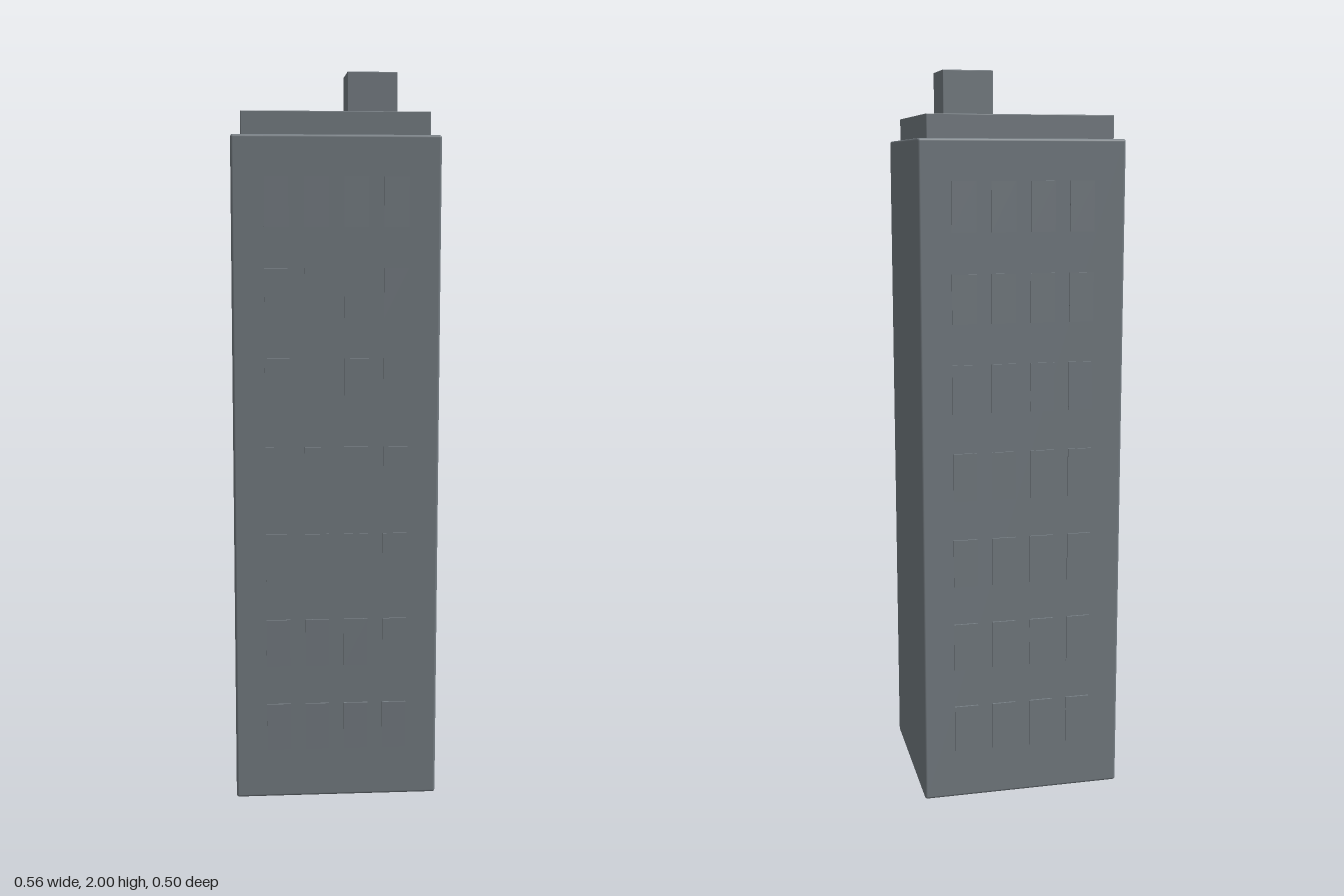
import * as THREE from 'three';
import { RoundedBoxGeometry } from 'three/addons/geometries/RoundedBoxGeometry.js';

export function createModel() {
  const model = new THREE.Group();
  model.name = 'towerBlock';
  const concrete = new THREE.MeshStandardMaterial({ color: 0x788086 });
  concrete.name = 'blueGreyConcrete';

  // Softly bevelled block standing on height y
  function block(name, w, h, d, x, y, bevel) {
    const mesh = new THREE.Mesh(new RoundedBoxGeometry(w, h, d, 2, bevel), concrete);
    mesh.name = name;
    mesh.position.set(x, y + h / 2, 0);
    model.add(mesh);
  }

  block('tower', 0.558, 1.818, 0.488, 0, 0, 0.007);
  block('roofSlab', 0.504, 0.07, 0.44, 0, 1.81, 0.002);
  block('roofHousing', 0.138, 0.13, 0.138, 0.111, 1.87, 0.002);

  // Thin window panels: seven floors of four, on the front and back
  const panel = new THREE.BoxGeometry(0.066, 0.132, 0.008);
  for (const side of [1, -1]) {
    const windows = new THREE.Group();
    windows.name = side > 0 ? 'frontWindows' : 'backWindows';
    for (let floor = 0; floor < 7; floor++) {
      for (let column = 0; column < 4; column++) {
        const pane = new THREE.Mesh(panel, concrete);
        pane.name = 'window';
        pane.position.set((column - 1.5) * 0.1065, 0.204 + floor * 0.24, side * 0.245);
        windows.add(pane);
      }
    }
    model.add(windows);
  }
  return model;
}
